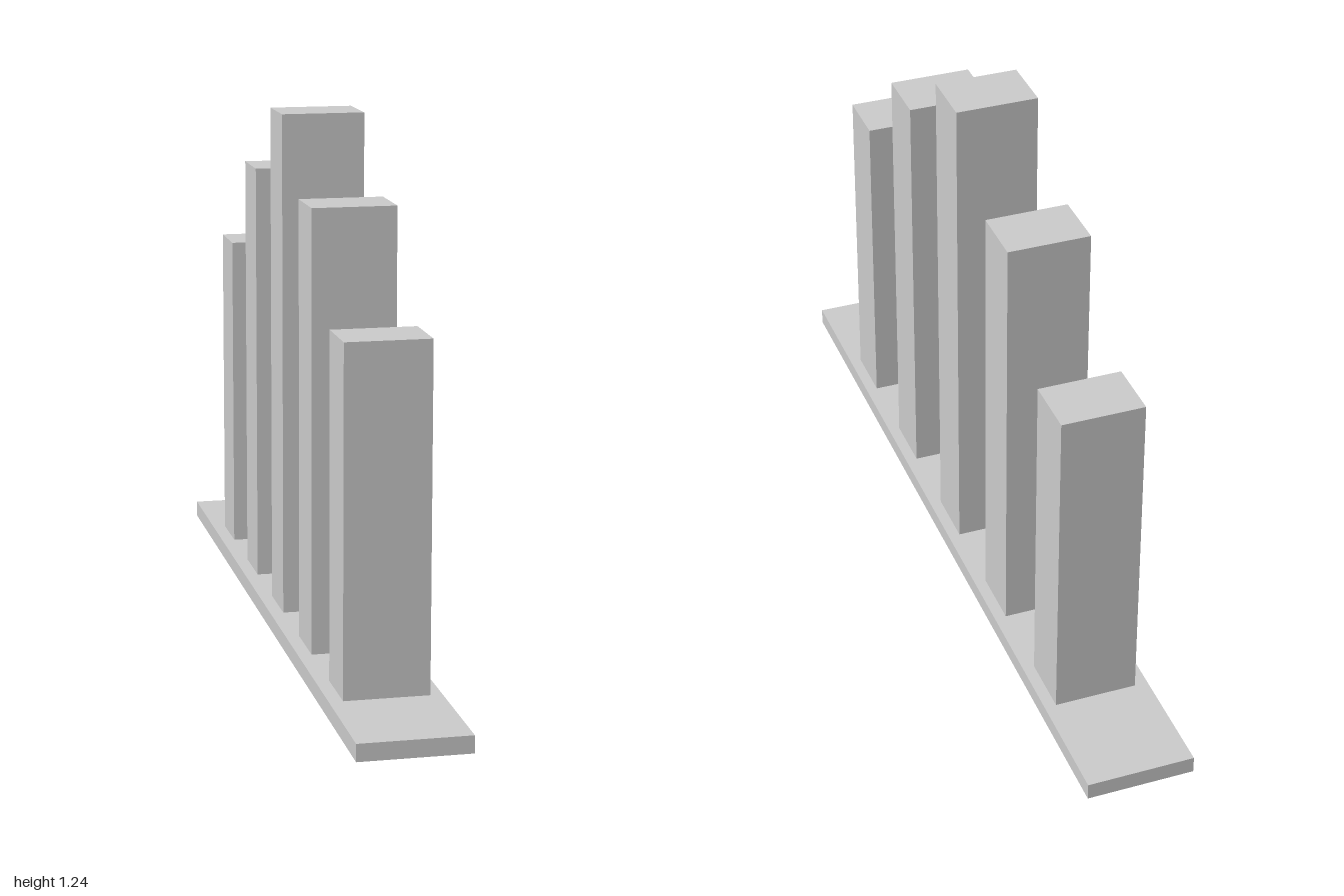
import * as THREE from 'three';

export function createModel() {
  const model = new THREE.Group();
  const material = new THREE.MeshStandardMaterial({ color: 0xcccccc, flatShading: true });

  const addBox = (name, width, depth, bottom, top, x, z) => {
    const mesh = new THREE.Mesh(new THREE.BoxGeometry(width, top - bottom, depth), material);
    mesh.name = name;
    mesh.position.set(x, (bottom + top) / 2, z);
    model.add(mesh);
  };

  // Long thin base plate
  const baseTop = 0.04;
  addBox('basePlate', 0.254, 2, 0, baseTop, 0, 0);

  // Row of pillars, tallest in the middle and stepping down to both ends
  const tops = [0.832, 1.068, 1.238, 1.068, 0.832];
  const spacing = 0.331;
  tops.forEach((top, i) => {
    addBox(`pillar${i + 1}`, 0.195, 0.141, baseTop, top, 0.002, (i - 2) * spacing);
  });

  return model;
}
